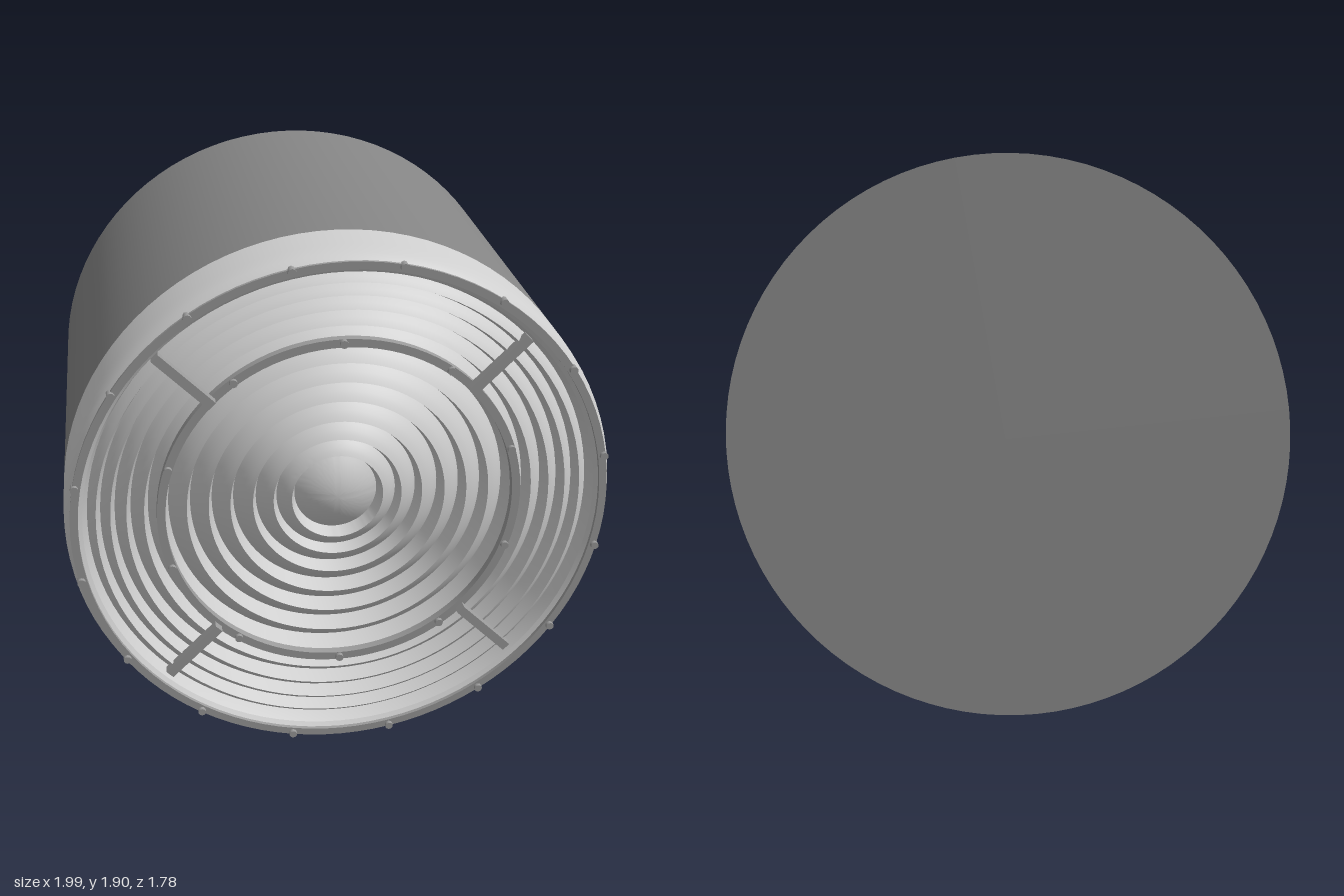
import * as THREE from 'three';
import { toCreasedNormals } from 'three/addons/utils/BufferGeometryUtils.js';

const material = (name, color) => {
  const m = new THREE.MeshStandardMaterial({ color });
  m.name = name;
  return m;
};

export function createModel() {
  const housingGrey = material('housing grey', 0x848484);
  const lensWhite = material('lens white', 0xcecece);
  const trimGrey = material('trim grey', 0x9a9a9a);

  const model = new THREE.Group();
  model.name = 'steppedLensLamp';

  // The lamp is built along local +z from its back cap, then tilted
  const lamp = new THREE.Group();
  lamp.name = 'tiltedLamp';
  lamp.position.set(-0.147, 1.035, -0.67);
  lamp.quaternion.setFromUnitVectors(
    new THREE.Vector3(0, 0, 1), new THREE.Vector3(0.219, -0.127, 0.968).normalize());
  model.add(lamp);

  const add = (name, geometry, mat, parent = lamp) => {
    const mesh = new THREE.Mesh(geometry, mat);
    mesh.name = name;
    parent.add(mesh);
    return mesh;
  };

  // Turned part from [radius, distance along the axis] pairs
  const turned = (name, profile, mat, crease = 0.5) => {
    const points = profile.map(([r, t]) => new THREE.Vector2(r, t));
    const geometry = new THREE.LatheGeometry(points, 96).rotateX(Math.PI / 2);
    return add(name, toCreasedNormals(geometry, crease), mat);
  };

  // Housing with closed back
  const R = 0.873;
  turned('housing', [[0, 0], [R, 0], [R, 1.145]], housingGrey);

  // Pale front shell, rounded over the lip and returning inside
  turned('frontShell', [
    [R, 1.145], [R, 1.27], [0.871, 1.31], [0.867, 1.335], [0.86, 1.353],
    [0.85, 1.365], [0.835, 1.365], [0.815, 1.35], [0.8, 1.3], [0.8, 1.24],
  ], lensWhite);

  // Stepped lens: a central dome, then convex ridges on a shallow dish
  const ridges = [0.135, 0.195, 0.262, 0.335, 0.405, 0.475, 0.545, 0.61, 0.665, 0.715, 0.76, 0.805];
  const peak = (r) => 1.235 + 0.11 * (r / 0.82) ** 2;
  const lens = [];
  for (let i = 0; i <= 8; i++) {
    const r = (ridges[0] * i) / 8;
    lens.push([r, 1.24 - 0.05 * (i / 8) ** 2]);
  }
  for (let k = 0; k < ridges.length - 1; k++) {
    const inner = ridges[k] + 0.014;
    const width = ridges[k + 1] - inner;
    const drop = width * (0.75 + 0.6 * inner);
    for (let i = 0; i <= 4; i++) {
      const s = i / 4;
      lens.push([inner + width * s, peak(inner) - drop * (0.6 * s + 0.4 * s * s)]);
    }
  }
  turned('steppedLens', lens.reverse(), lensWhite, 0.6);

  // Square-section trim rings
  const ring = (name, r0, r1, t0, t1) =>
    turned(name, [[r0, t0], [r1, t0], [r1, t1], [r0, t1], [r0, t0]], trimGrey);
  ring('outerRing', 0.828, 0.853, 1.345, 1.372);
  ring('innerRing', 0.558, 0.585, 1.285, 1.312);

  // Small bolts around each ring
  const bolts = (name, count, radius, t, offset) => {
    const group = new THREE.Group();
    group.name = name;
    lamp.add(group);
    const geometry = new THREE.CylinderGeometry(0.013, 0.013, 0.034, 10).rotateX(Math.PI / 2);
    for (let i = 0; i < count; i++) {
      const a = Math.PI / 2 + ((i + offset) / count) * Math.PI * 2;
      add('bolt', geometry, trimGrey, group)
        .position.set(radius * Math.cos(a), radius * Math.sin(a), t);
    }
  };
  bolts('outerBolts', 16, 0.846, 1.367, 0.5);
  bolts('innerBolts', 10, 0.572, 1.308, 0);

  // Four radial struts
  const strut = new THREE.BoxGeometry(0.235, 0.03, 0.03);
  for (let i = 0; i < 4; i++) {
    const a = Math.PI / 4 + (i * Math.PI) / 2;
    const mesh = add('strut', strut, trimGrey);
    mesh.position.set(0.687 * Math.cos(a), 0.687 * Math.sin(a), 1.33);
    mesh.rotation.z = a;
  }
  return model;
}
